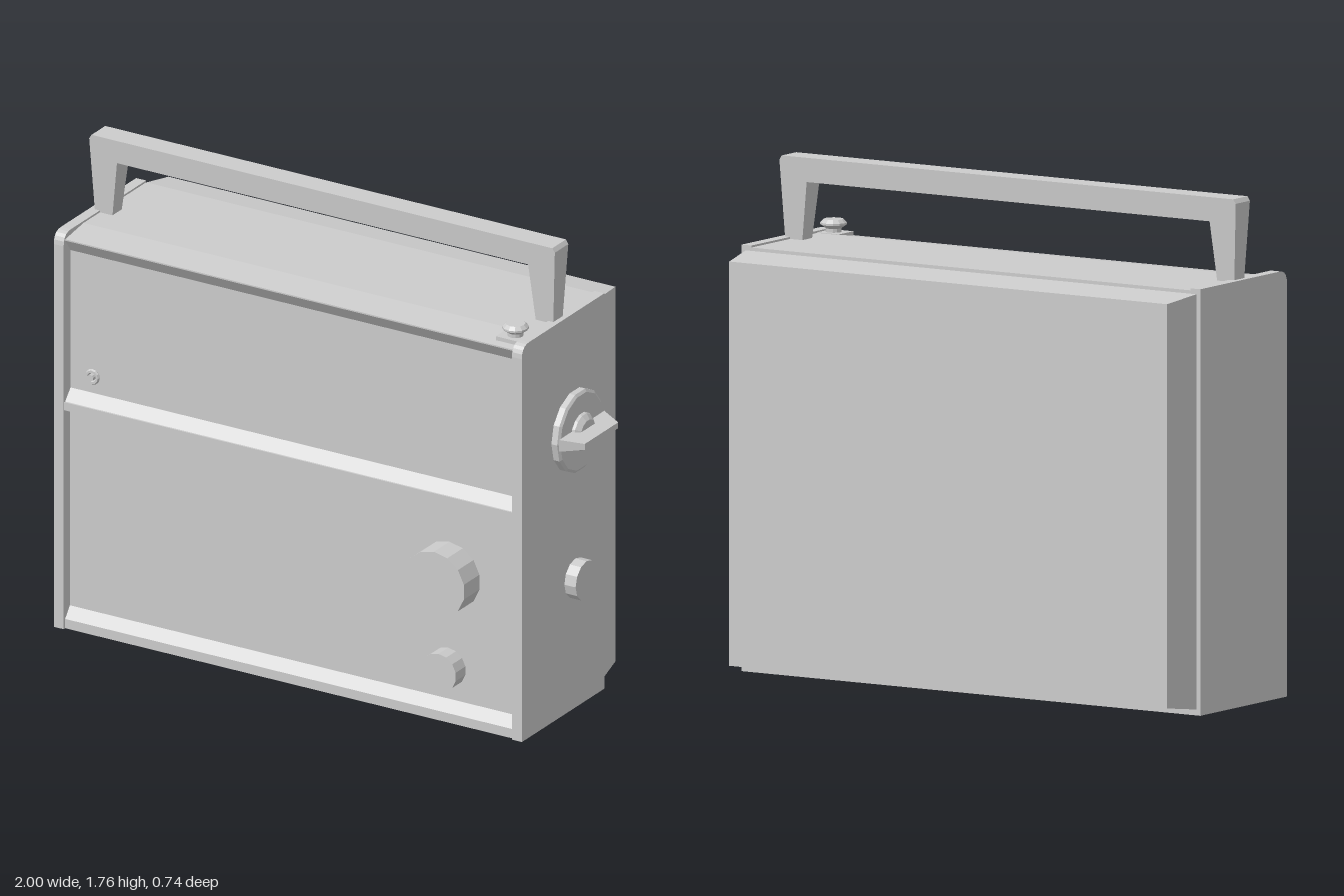
import * as THREE from 'three';

export function createModel() {
  const model = new THREE.Group();
  const grey = new THREE.MeshStandardMaterial({ color: 0xcccccc, flatShading: true });
  const CX = -0.055; // middle of the case, offset by the side dial

  const add = (name, geometry, x = 0, y = 0, z = 0) => {
    const mesh = new THREE.Mesh(geometry, grey);
    mesh.name = name;
    mesh.position.set(x, y, z);
    model.add(mesh);
    return mesh;
  };
  const outline = (points) => new THREE.Shape(points.map(([x, y]) => new THREE.Vector2(x, y)));
  const extrude = (shape, depth) =>
    new THREE.ExtrudeGeometry(shape, { depth, bevelEnabled: false, curveSegments: 5 });
  // Side profile (z, y) swept along x from x0
  const sweepX = (shape, x0, width) =>
    extrude(shape, width).rotateY(Math.PI / 2).scale(1, 1, -1).translate(x0, 0, 0);
  const flip = (geometry) => { // restore winding after a mirror
    const g = geometry.toNonIndexed ? (geometry.index ? geometry.toNonIndexed() : geometry) : geometry;
    const p = g.attributes.position;
    const a = new THREE.Vector3(), b = new THREE.Vector3();
    for (let i = 0; i < p.count; i += 3) {
      a.fromBufferAttribute(p, i + 1);
      b.fromBufferAttribute(p, i + 2);
      p.setXYZ(i + 1, b.x, b.y, b.z);
      p.setXYZ(i + 2, a.x, a.y, a.z);
    }
    g.computeVertexNormals();
    return g;
  };
  const turned = (points, sides) =>
    new THREE.LatheGeometry(points.map(([r, h]) => new THREE.Vector2(r, h)), sides);

  // Case core with two recessed front panels and a sloping top lip
  const core = outline([
    [-0.23, 0], [0.30, 0], [0.30, 0.035], [0.27, 0.075], [0.27, 0.82], [0.30, 0.82],
    [0.30, 0.85], [0.265, 0.89], [0.265, 1.405], [0.30, 1.453], [0.30, 1.458],
    [0.18, 1.475], [-0.23, 1.475],
  ]);
  add('caseCore', flip(sweepX(core, -0.96, 1.81)));

  // End plates with rounded upper front corners
  const plate = new THREE.Shape();
  plate.moveTo(-0.23, 0);
  plate.lineTo(0.31, 0);
  plate.lineTo(0.31, 1.435);
  plate.quadraticCurveTo(0.31, 1.482, 0.263, 1.482);
  plate.lineTo(-0.23, 1.482);
  for (const [name, x] of [['rightEndPlate', -1], ['leftEndPlate', 0.85]]) {
    add(name, flip(sweepX(plate, x, 0.04)));
  }
  add('panelDivider', new THREE.BoxGeometry(1.81, 0.03, 0.03), CX, 0.835, 0.292);

  // Tapered back cover
  const cover = new THREE.BoxGeometry(1.86, 1.445, 0.15);
  const cp = cover.attributes.position;
  for (let i = 0; i < cp.count; i++) {
    if (cp.getZ(i) < 0) cp.setXY(i, cp.getX(i) * 0.97, cp.getY(i) * 0.972);
  }
  cover.computeVertexNormals();
  add('backCover', cover, CX, 0.742, -0.297);

  // Carrying handle, narrowing toward the feet
  const half = [[0.925, 1.47], [0.94, 1.75], [0.93, 1.765]];
  const inner = [[0.83, 1.68], [0.855, 1.47]];
  const mirror = (pts) => pts.map(([x, y]) => [-x, y]).reverse();
  const handle = extrude(outline([...half, ...mirror(half), ...mirror(inner), ...inner]), 0.09);
  handle.translate(0, 0, -0.045);
  const hp = handle.attributes.position;
  for (let i = 0; i < hp.count; i++) {
    const t = (hp.getY(i) - 1.47) / 0.295;
    hp.setZ(i, hp.getZ(i) * (0.67 + 0.33 * t));
  }
  handle.computeVertexNormals();
  add('handle', handle, CX, 0, 0.042);

  // Front knobs and the small indicator
  const frontKnob = (name, x, y, r, z0, z1, sides) =>
    add(name, new THREE.CylinderGeometry(r, r, z1 - z0, sides).rotateX(Math.PI / 2), x, y, (z0 + z1) / 2);
  frontKnob('tuningKnob', 0.573, 0.54, 0.124, 0.26, 0.372, 14);
  frontKnob('volumeKnob', 0.568, 0.195, 0.071, 0.26, 0.334, 14);
  frontKnob('indicatorPin', -0.868, 0.953, 0.012, 0.25, 0.285, 10);
  add('indicatorRing', new THREE.TorusGeometry(0.021, 0.008, 6, 12), -0.868, 0.953, 0.27);

  // Top push button on its raised seat
  add('buttonSeat', new THREE.BoxGeometry(0.09, 0.04, 0.09), 0.805, 1.457, 0.225);
  add('topButton', turned([
    [0.028, 0], [0.028, 0.02], [0.046, 0.033], [0.046, 0.04], [0.034, 0.052], [0, 0.052],
  ], 12), 0.812, 1.47, 0.225);

  // Side dial: disc, hub and pointer grip
  const dialY = 1.045, dialZ = -0.033;
  const toSide = (g) => g.rotateZ(-Math.PI / 2);
  add('sideDial', toSide(turned([[0.15, 0], [0.15, 0.025], [0.14, 0.032], [0, 0.032]], 14)), 0.888, dialY, dialZ);
  add('dialHub', toSide(turned([[0.07, 0], [0.066, 0.012], [0.048, 0.028], [0, 0.028]], 14)), 0.918, dialY, dialZ);
  const grip = new THREE.BoxGeometry(0.08, 0.044, 0.296);
  const gp = grip.attributes.position;
  for (let i = 0; i < gp.count; i++) {
    if (gp.getX(i) > 0) {
      gp.setY(i, gp.getY(i) * 0.5);
      gp.setZ(i, gp.getZ(i) * 0.74);
    }
  }
  grip.computeVertexNormals();
  add('dialGrip', grip, 0.96, dialY, dialZ);
  add('sideKnob', toSide(new THREE.CylinderGeometry(0.072, 0.072, 0.055, 12)), 0.908, 0.487, -0.04);

  return model;
}
